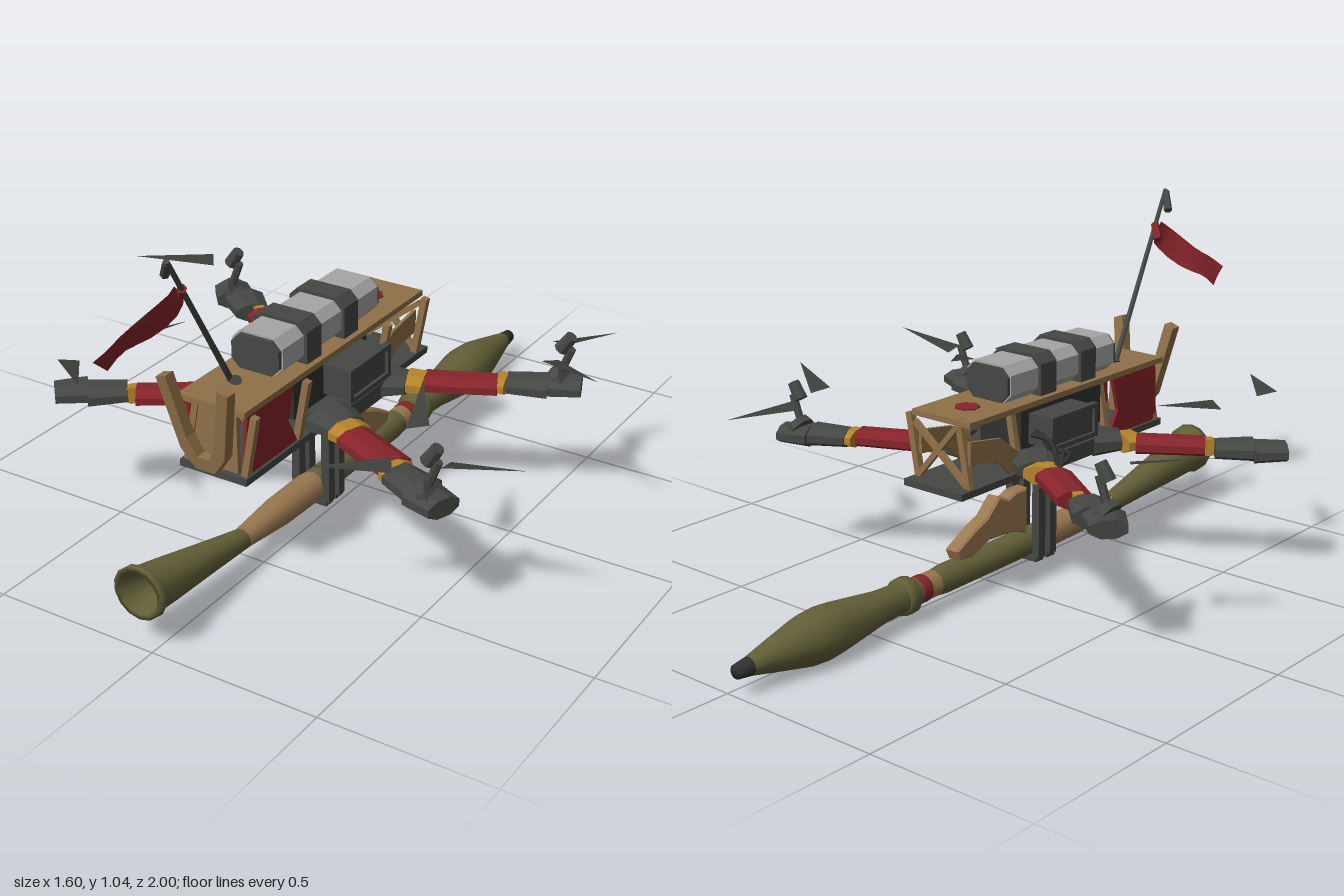
import * as THREE from 'three';

const mat = (name, color) => Object.assign(new THREE.MeshStandardMaterial({ color }), { name });
const V = (x, y, z) => new THREE.Vector3(x, y, z);

export function createModel() {
  const root = new THREE.Group();
  const model = new THREE.Group();
  model.name = 'drone';
  model.position.x = -0.035;
  root.add(model);

  const dark = mat('dark grey', 0x444743), tan = mat('tan', 0x8f7148), olive = mat('olive', 0x636038);
  const red = mat('red', 0x86242a), silver = mat('silver', 0xa6a6a6), yellow = mat('yellow', 0xb5842a);
  const wood = mat('wood', 0x9a7850), black = mat('charcoal', 0x30322f);
  const sheetRed = mat('flag red', 0x86242a), sheetDark = mat('blade grey', 0x3c3f3c);
  sheetRed.side = sheetDark.side = THREE.DoubleSide;

  const add = (name, geo, m, parent = model) => {
    const mesh = new THREE.Mesh(geo, m);
    mesh.name = name;
    parent.add(mesh);
    return mesh;
  };
  const flat = (geo) => {
    const g = geo.index ? geo.toNonIndexed() : geo;
    g.computeVertexNormals();
    return g;
  };
  // box given by its limits on each axis
  const box = (name, m, x0, x1, y0, y1, z0, z1) =>
    add(name, new THREE.BoxGeometry(x1 - x0, y1 - y0, z1 - z0)
      .translate((x0 + x1) / 2, (y0 + y1) / 2, (z0 + z1) / 2), m);
  // round or flattened bar from a to b
  const bar = (name, m, a, b, r0, r1, sides = 8, squash = 1) => {
    const len = a.distanceTo(b);
    const geo = new THREE.CylinderGeometry(r1, r0, len, sides)
      .rotateY(Math.PI / sides).rotateX(Math.PI / 2).translate(0, 0, len / 2).scale(1, squash, 1);
    const mesh = add(name, flat(geo), m);
    mesh.position.copy(a);
    mesh.lookAt(b);
    return mesh;
  };
  // side outline in (z, y), given a thickness across x
  const sidePlate = (name, m, pts, x0, thick, bevel = 0) => {
    const shape = new THREE.Shape(pts.map(([z, y]) => new THREE.Vector2(-z, y)));
    const geo = new THREE.ExtrudeGeometry(shape, {
      depth: thick, bevelEnabled: bevel > 0, bevelSize: bevel, bevelThickness: bevel, bevelSegments: 1,
    }).rotateY(Math.PI / 2).translate(x0, 0, 0);
    return add(name, geo, m);
  };

  // launcher tube: turned sections along z on a slightly bent axis
  const axis = (z) => 0.07 + (z + 1) * 0.0133 + Math.max(0, z - 0.55) * 0.155;
  const turned = (name, m, pts) => {
    const geo = new THREE.LatheGeometry(pts.map(([r, z]) => new THREE.Vector2(r, z)), 14).rotateX(Math.PI / 2);
    const p = geo.attributes.position;
    for (let i = 0; i < p.count; i++) p.setY(i, p.getY(i) + axis(p.getZ(i)));
    return add(name, geo, m);
  };
  turned('warheadTip', black, [[0, -1], [0.02, -1], [0.026, -0.955]]);
  turned('warhead', olive, [[0.026, -0.955], [0.048, -0.86], [0.07, -0.76], [0.074, -0.7], [0.07, -0.65],
    [0.047, -0.48], [0.044, -0.4]]);
  turned('collar', olive, [[0.044, -0.4], [0.054, -0.395], [0.054, -0.365], [0.038, -0.36], [0.038, -0.335]]);
  turned('redBand', red, [[0.038, -0.335], [0.04, -0.33], [0.04, -0.305], [0.038, -0.3]]);
  turned('neck', wood, [[0.038, -0.3], [0.038, -0.26]]);
  turned('tube', olive, [[0.038, -0.26], [0.042, -0.22], [0.042, 0.2]]);
  turned('woodGuard', wood, [[0.042, 0.2], [0.046, 0.22], [0.044, 0.38], [0.034, 0.5], [0.03, 0.55]]);
  turned('bell', olive, [[0.03, 0.55], [0.045, 0.72], [0.062, 0.9], [0.068, 0.975], [0.077, 0.98], [0.077, 1],
    [0.062, 1], [0.04, 0.85], [0, 0.84]]);
  sidePlate('grip', wood, [[0.12, 0.13], [0.12, 0.258], [0.075, 0.258], [0.04, 0.245], [0, 0.262], [-0.05, 0.215],
    [-0.1, 0.195], [-0.18, 0.152], [-0.17, 0.13], [-0.11, 0.125], [-0.04, 0.155], [0.06, 0.15]], -0.018, 0.036, 0.006);

  // two clamps holding the launcher
  for (const z of [0.197, 0.145]) {
    for (const s of [-1, 1]) {
      box('clampPost', dark, s * 0.05 - 0.013, s * 0.05 + 0.013, 0.05, 0.3, z - 0.015, z + 0.015);
      box('clampHead', dark, s * 0.05 - 0.016, s * 0.05 + 0.016, 0.29, 0.31, z - 0.02, z + 0.02);
    }
    box('clampBase', dark, -0.055, 0.055, 0.038, 0.055, z - 0.018, z + 0.018);
  }

  // body plates
  box('bottomPlate', dark, -0.107, 0.107, 0.345, 0.365, -0.26, 0.67);
  box('topPlate', tan, -0.107, 0.107, 0.543, 0.56, -0.225, 0.67);
  const patch = add('redPatch', new THREE.CylinderGeometry(0.037, 0.037, 0.004, 7), red);
  patch.position.set(0, 0.562, -0.115);
  box('hub', dark, -0.165, 0.165, 0.365, 0.412, 0, 0.34);
  box('innerCore', black, -0.075, 0.075, 0.41, 0.54, 0.03, 0.4);
  for (const s of [-1, 1]) {
    // side modules with a raised rim
    const xa = s > 0 ? 0.075 : -0.16, xb = s > 0 ? 0.16 : -0.075;
    box('sideModule', dark, xa, xb, 0.425, 0.515, 0.065, 0.255);
    for (const y of [0.42, 0.506]) box('moduleRim', dark, s * 0.16 - 0.01, s * 0.16 + 0.01, y, y + 0.014, 0.055, 0.265);
    for (const z of [0.055, 0.25]) box('moduleRim', dark, s * 0.16 - 0.01, s * 0.16 + 0.01, 0.42, 0.52, z, z + 0.015);
    // red front panels and frame posts
    sidePlate('redPanel', red, [[0.655, 0.365], [0.645, 0.545], [0.43, 0.545], [0.46, 0.44], [0.42, 0.365]],
      s * 0.092 - 0.006, 0.012);
    for (const z of [0.65, 0.41, 0, -0.21])
      bar('framePost', tan, V(s * 0.092, 0.36, z), V(s * 0.092, 0.548, z), 0.014, 0.014, 4);
    sidePlate('rearBrace', tan, [[0.01, 0.365], [0.01, 0.41], [-0.08, 0.48], [-0.21, 0.5], [-0.21, 0.43],
      [-0.1, 0.42], [-0.04, 0.365]], s * 0.09 - 0.005, 0.01);
    bar('rearCrossBar', tan, V(-s * 0.09, 0.37, -0.215), V(s * 0.09, 0.54, -0.215), 0.011, 0.011, 4);
  }
  box('frontPanel', tan, -0.07, 0.07, 0.365, 0.543, 0.64, 0.655);

  // forked front guard
  const half = [[0.03, 0.375], [0.07, 0.43], [0.112, 0.64], [0.08, 0.65], [0.045, 0.47], [0.02, 0.415]];
  const fork = new THREE.Shape([...half, ...half.map(([x, y]) => [-x, y]).reverse()].map(([x, y]) => new THREE.Vector2(x, y)));
  const forkGeo = new THREE.ExtrudeGeometry(fork, { depth: 0.035, bevelEnabled: false }).translate(0, 0, 0.665);
  const fp = forkGeo.attributes.position;
  for (let i = 0; i < fp.count; i++) fp.setZ(i, fp.getZ(i) + Math.max(0, fp.getY(i) - 0.36) * 0.17);
  add('frontFork', flat(forkGeo), tan);

  // battery with chamfered edges, and its straps
  const chamfered = (name, m, hw, y0, y1, c, z0, z1) => {
    const pts = [[hw - c, y0], [hw, y0 + c], [hw, y1 - c], [hw - c, y1], [c - hw, y1], [-hw, y1 - c], [-hw, y0 + c], [c - hw, y0]];
    const shape = new THREE.Shape(pts.map(([x, y]) => new THREE.Vector2(x, y)));
    return add(name, new THREE.ExtrudeGeometry(shape, { depth: z1 - z0, bevelEnabled: false }).translate(0, 0, z0), m);
  };
  chamfered('battery', silver, 0.08, 0.56, 0.668, 0.025, -0.02, 0.455);
  chamfered('batteryFrontCap', dark, 0.076, 0.562, 0.662, 0.025, 0.455, 0.468);
  chamfered('batteryRearCap', dark, 0.076, 0.562, 0.662, 0.025, -0.03, -0.02);
  for (const z of [0.285, 0.1]) chamfered('batteryStrap', dark, 0.09, 0.53, 0.678, 0.025, z, z + 0.07);

  // four banded arms: [from, to, radius, radius, colour]
  const bands = [[0, 0.15, 0.085, 0.06, dark], [0.15, 0.24, 0.06, 0.056, yellow], [0.24, 0.6, 0.056, 0.054, red],
    [0.6, 0.65, 0.054, 0.054, yellow], [0.65, 0.85, 0.054, 0.064, dark], [0.85, 1.02, 0.064, 0.055, dark]];
  for (const sx of [-1, 1]) for (const front of [false, true]) {
    const a = V(sx * 0.12, 0.387, front ? 0.3 : 0.04), b = V(sx * 0.61, 0.387, front ? 0.56 : -0.235);
    for (const [f0, f1, r0, r1, m] of bands)
      bar('arm', m, a.clone().lerp(b, f0), a.clone().lerp(b, f1), r0, r1, 8, 0.5);
    if (sx < 0 && front) continue; // this arm has lost its motor
    const p = a.clone().lerp(b, 0.91);
    const at = (y) => V(p.x, y, p.z);
    bar('motorBase', dark, at(0.4), at(0.425), 0.045, 0.04, 8);
    bar('motorShaft', dark, at(0.42), at(0.51), 0.012, 0.012, 6);
    bar('motorHead', dark, at(0.495), at(0.55), 0.022, 0.018, 8);
  }

  // propeller blades: root x, root z, tip x, tip z, root y, tip y
  const blades = [[-0.58, -0.14, -0.77, 0, 0.53, 0.55], [-0.46, 0.44, -0.365, 0.28, 0.53, 0.545],
    [-0.51, 0.625, -0.375, 0.745, 0.53, 0.54], [0.54, -0.25, 0.635, -0.44, 0.49, 0.47],
    [0.575, -0.12, 0.77, -0.015, 0.5, 0.53], [0.47, 0.42, 0.385, 0.25, 0.51, 0.545],
    [0.61, 0.52, 0.825, 0.505, 0.49, 0.53], [0.5, 0.6, 0.335, 0.71, 0.495, 0.495]];
  for (const [x0, z0, x1, z1, y0, y1] of blades) {
    const len = Math.hypot(x1 - x0, z1 - z0);
    const nx = -(z1 - z0) / len * 0.03, nz = (x1 - x0) / len * 0.03;
    const geo = new THREE.BufferGeometry();
    geo.setAttribute('position', new THREE.Float32BufferAttribute(
      [x0 + nx, y0 + 0.006, z0 + nz, x1, y1, z1, x0 - nx, y0 - 0.006, z0 - nz], 3));
    geo.computeVertexNormals();
    add('propellerBlade', geo, sheetDark);
  }

  // loose cables over the rear right shoulder
  for (const k of [0, 1, 2]) {
    const curve = new THREE.CatmullRomCurve3([V(-0.1, 0.46 + k * 0.01, 0.05 + k * 0.02),
      V(-0.17, 0.46 - k * 0.01, 0.04), V(-0.21 - k * 0.01, 0.43, 0.02 + k * 0.02), V(-0.23, 0.4, 0)]);
    add('cable', new THREE.TubeGeometry(curve, 10, 0.008, 5), black);
  }

  // flag on a leaning pole
  const foot = V(-0.03, 0.55, 0.53), top = V(0, 1.035, 0.865);
  bar('flagPole', dark, foot, top, 0.009, 0.007, 6);
  bar('poleSocket', dark, foot, foot.clone().lerp(top, 0.06), 0.02, 0.014, 8);
  bar('poleTip', dark, foot.clone().lerp(top, 0.88), top, 0.013, 0.01, 6);
  bar('flagTie', red, foot.clone().lerp(top, 0.71), foot.clone().lerp(top, 0.81), 0.013, 0.013, 6);
  const flag = new THREE.PlaneGeometry(1, 1, 8, 3);
  const q = flag.attributes.position;
  for (let i = 0; i < q.count; i++) {
    const u = q.getX(i) + 0.5, v = q.getY(i) + 0.5;
    q.setXYZ(i, -0.006 - 0.115 * u * u + 0.02 * Math.sin(u * 7 + v),
      0.893 + 0.05 * v - 0.16 * u + 0.008 * Math.sin(u * 9), 0.75 + 0.06 * v + 0.185 * u);
  }
  flag.computeVertexNormals();
  add('flag', flag, sheetRed);

  return root;
}
